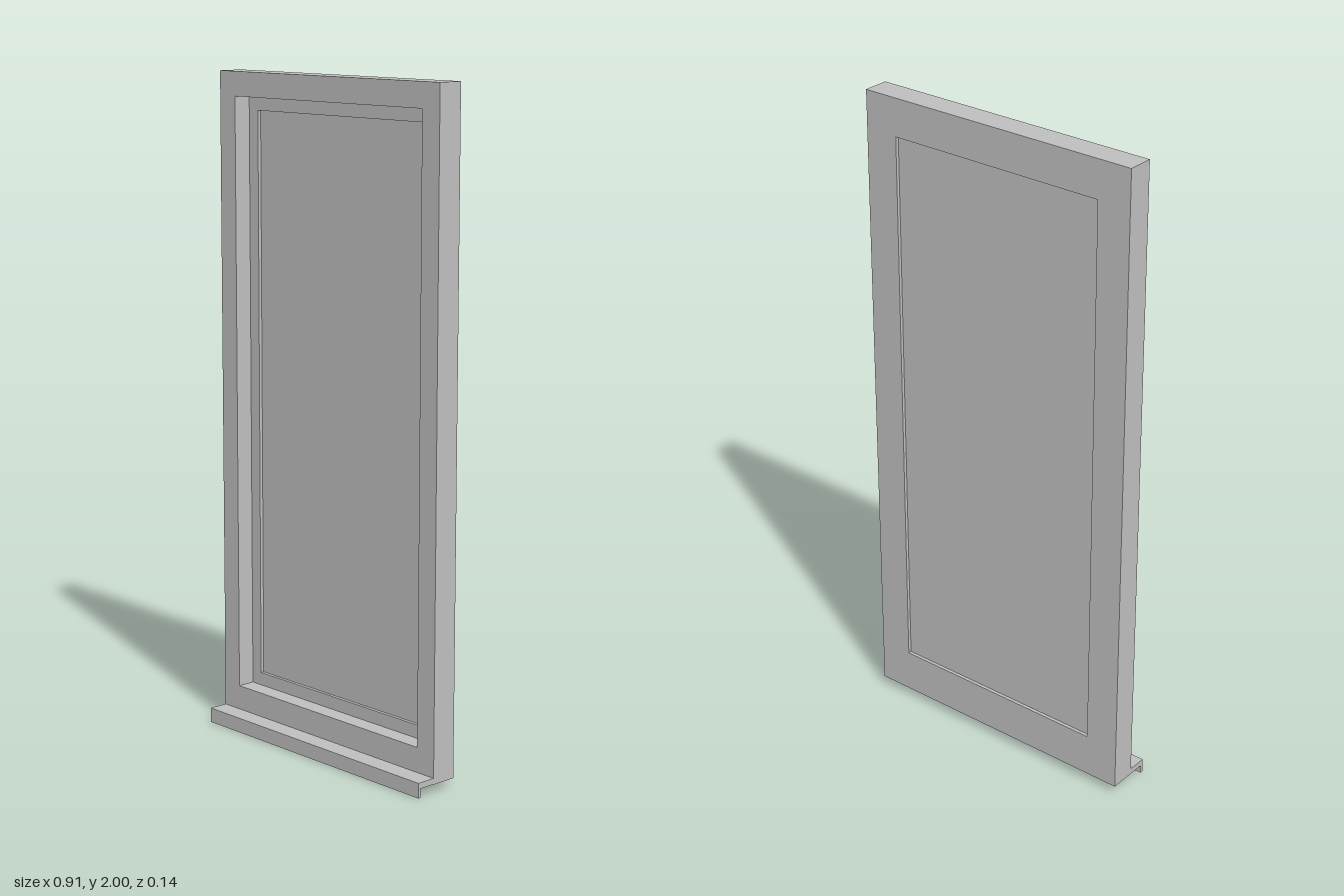
import * as THREE from 'three';

// Rectangular ring between outer and inner [x0, y0, x1, y1], spanning z0..z1
function ring(outer, inner, z0, z1, material, name) {
  const trace = (path, [x0, y0, x1, y1]) => {
    path.moveTo(x0, y0);
    path.lineTo(x1, y0);
    path.lineTo(x1, y1);
    path.lineTo(x0, y1);
    path.closePath();
    return path;
  };
  const shape = trace(new THREE.Shape(), outer);
  shape.holes.push(trace(new THREE.Path(), inner));
  const geometry = new THREE.ExtrudeGeometry(shape, { depth: z1 - z0, bevelEnabled: false });
  geometry.translate(0, 0, z0);
  const mesh = new THREE.Mesh(geometry, material);
  mesh.name = name;
  return mesh;
}

export function createModel() {
  const grey = new THREE.MeshStandardMaterial({ color: 0xbfbfbf });
  grey.name = 'window grey';

  const W = 0.457;
  const opening = [-0.39, 0.12, 0.39, 1.927];
  const paneEdge = [-0.351, 0.16, 0.351, 1.885];
  const group = new THREE.Group();
  group.name = 'window';

  // Outer frame, with the sash set back inside it
  group.add(ring([-W, 0.026, W, 2], opening, -0.07, 0.01, grey, 'outerFrame'));
  group.add(ring(opening, paneEdge, -0.07, -0.045, grey, 'sash'));

  // Pane in the middle of the sash depth
  const [x0, y0, x1, y1] = paneEdge;
  const pane = new THREE.Mesh(new THREE.BoxGeometry(x1 - x0, y1 - y0, 0.004), grey);
  pane.position.set(0, (y0 + y1) / 2, -0.0575);
  pane.name = 'pane';
  group.add(pane);

  // Sill: ledge with a drip lip, one profile drawn in z and y and run across the width
  const profile = new THREE.Shape(
    [[0.01, 0.027], [0.061, 0.027], [0.061, 0], [0.07, 0], [0.07, 0.045], [0.01, 0.045]]
      .map(([z, y]) => new THREE.Vector2(z, y)));
  const sillGeometry = new THREE.ExtrudeGeometry(profile, { depth: 2 * W, bevelEnabled: false });
  sillGeometry.translate(0, 0, -W).rotateY(-Math.PI / 2);
  const sill = new THREE.Mesh(sillGeometry, grey);
  sill.name = 'sill';
  group.add(sill);

  return group;
}
